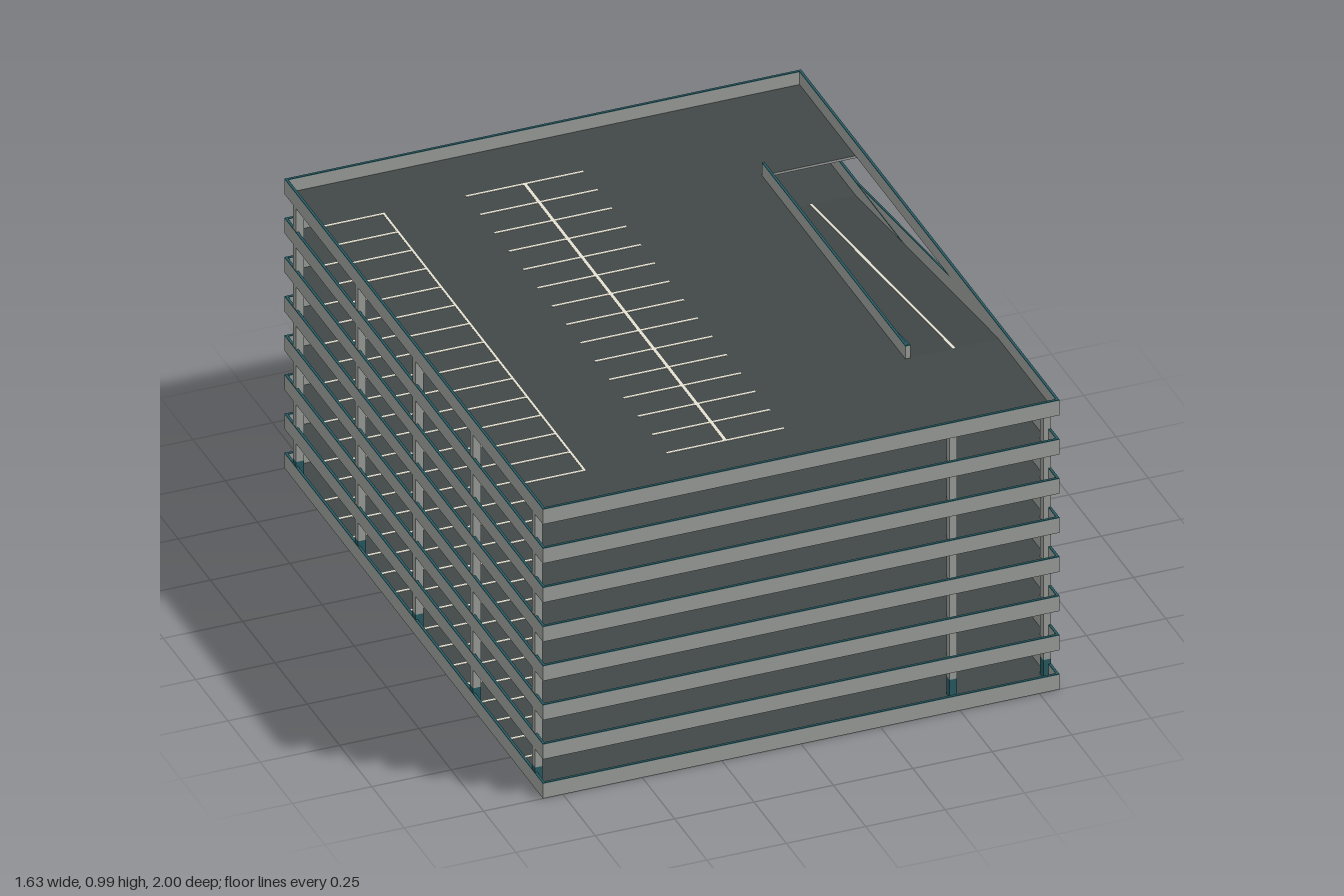
import * as THREE from 'three';

const W = 0.813, D = 1;             // half width and half depth
const PITCH = 0.1337, LEVELS = 8;   // storey height and number of decks
const SLAB = 0.008, BAND = 0.053, CAP = 0.003, T = 0.008;
const HOLE = { x0: 0.519, z0: -0.56, z1: 0.55 }; // ramp opening
const RAMP_LEN = HOLE.z1 - HOLE.z0;

export function createModel() {
  const material = (name, color) => {
    const m = new THREE.MeshStandardMaterial({ color });
    m.name = name;
    return m;
  };
  const asphalt = material('asphalt', 0x414747);
  const concrete = material('concrete', 0x9a9d98);
  const teal = material('teal', 0x265a62);
  const paint = material('linePaint', 0xe6e2d2);
  // Slabs are concrete with an asphalt top face
  const paved = [concrete, concrete, asphalt, concrete, concrete, concrete];

  // Box given by its minimum and maximum corners; slope raises it toward +z
  const box = (parent, name, mat, x0, x1, y0, y1, z0, z1, slope = 0) => {
    const geo = new THREE.BoxGeometry(x1 - x0, y1 - y0, z1 - z0);
    if (slope) {
      const p = geo.attributes.position;
      for (let i = 0; i < p.count; i++) p.setY(i, p.getY(i) + slope * p.getZ(i));
      geo.computeVertexNormals();
    }
    const mesh = new THREE.Mesh(geo, mat);
    mesh.name = name;
    mesh.position.set((x0 + x1) / 2, (y0 + y1) / 2, (z0 + z1) / 2);
    parent.add(mesh);
  };

  // Concrete parapet with a teal cap, standing on y
  const wall = (parent, name, x0, x1, y, z0, z1, slope = 0) => {
    box(parent, name, concrete, x0, x1, y, BAND - CAP, z0, z1, slope);
    box(parent, name + 'Cap', teal, x0, x1, BAND - CAP, BAND, z0, z1, slope);
  };

  const model = new THREE.Group();
  model.name = 'parkingGarage';

  for (let k = 0; k < LEVELS; k++) {
    const level = new THREE.Group();
    level.name = 'level' + k;
    level.position.y = k * PITCH;
    model.add(level);

    // Deck, open above the ramp on the upper levels
    const e = 0.002, ground = k === 0;
    if (ground) {
      box(level, 'groundSlab', paved, -W + e, W - e, 0, SLAB, -D + e, D - e);
    } else {
      box(level, 'deckMain', paved, -W + e, HOLE.x0, 0, SLAB, -D + e, D - e);
      box(level, 'deckBack', paved, HOLE.x0, W - e, 0, SLAB, -D + e, HOLE.z0);
      box(level, 'deckFront', paved, HOLE.x0, W - e, 0, SLAB, HOLE.z1, D - e);
      wall(level, 'openingParapet', HOLE.x0 - T, HOLE.x0, SLAB, HOLE.z0, HOLE.z1);
    }

    // Outer parapets; the ground floor has an entrance at the back
    wall(level, 'frontParapet', -W, W, 0, D - T, D);
    if (ground) {
      wall(level, 'backParapet', -W, -0.62, 0, -D, -D + T);
      wall(level, 'backParapet', -0.31, W, 0, -D, -D + T);
    } else {
      wall(level, 'backParapet', -W, W, 0, -D, -D + T);
    }
    wall(level, 'rightParapet', -W, -W + T, 0, -D + T, D - T);
    wall(level, 'leftParapet', W - T, W, 0, -D + T, HOLE.z0);
    wall(level, 'leftParapet', W - T, W, ground ? 0 : SLAB, HOLE.z0, HOLE.z1);
    wall(level, 'leftParapet', W - T, W, 0, HOLE.z1, D - T);

    // Painted parking bays
    const y0 = SLAB, y1 = SLAB + 0.001, w = 0.004;
    for (let i = -7; i <= 7; i++) {
      const z = i * 0.111;
      box(level, 'sideBayLine', paint, -0.778, -0.595, y0, y1, z - w, z + w);
      box(level, 'middleBayLine', paint, -0.333, -0.153, y0, y1, z - w, z + w);
      box(level, 'middleBayLine', paint, -0.143, 0.037, y0, y1, z - w, z + w);
    }
    box(level, 'sideBaySpine', paint, -0.595, -0.588, y0, y1, -0.781, 0.781);
    box(level, 'middleBaySpine', paint, -0.153, -0.143, y0, y1, -0.781, 0.781);

    if (k === LEVELS - 1) continue;

    // Columns up to the next deck, with teal feet on the ground floor
    const column = (x, z) => {
      const foot = ground ? 0.07 : SLAB, r = 0.012;
      box(level, 'column', concrete, x - r, x + r, foot, PITCH, z - r, z + r);
      if (ground) box(level, 'columnFoot', teal, x - r, x + r, SLAB, foot, z - r, z + r);
    };
    for (const z of [-0.925, -0.445, 0, 0.445, 0.925]) column(-0.8, z);
    for (const z of [-0.72, -0.275, 0.17, 0.61]) column(-0.148, z);
    for (const z of [-0.925, 0.925]) {
      column(0.505, z);
      column(0.8, z);
    }

    // Ramp to the next deck, with side rails and a centre line
    const ramp = new THREE.Group();
    ramp.name = 'ramp';
    ramp.position.y = PITCH / 2;
    level.add(ramp);
    const s = PITCH / RAMP_LEN, { x0, z0, z1 } = HOLE;
    box(ramp, 'rampSlab', paved, x0 + 0.001, W - 0.003, 0, SLAB, z0, z1, s);
    wall(ramp, 'rampInnerRail', x0 + 0.001, x0 + T, 0, z0, z1, s);
    wall(ramp, 'rampOuterRail', W - T + 0.001, W - 0.001, 0, z0, z1, s);
    box(ramp, 'rampCentreLine', paint, 0.661, 0.669, SLAB, SLAB + 0.001, z0, z1, s);
  }
  return model;
}
